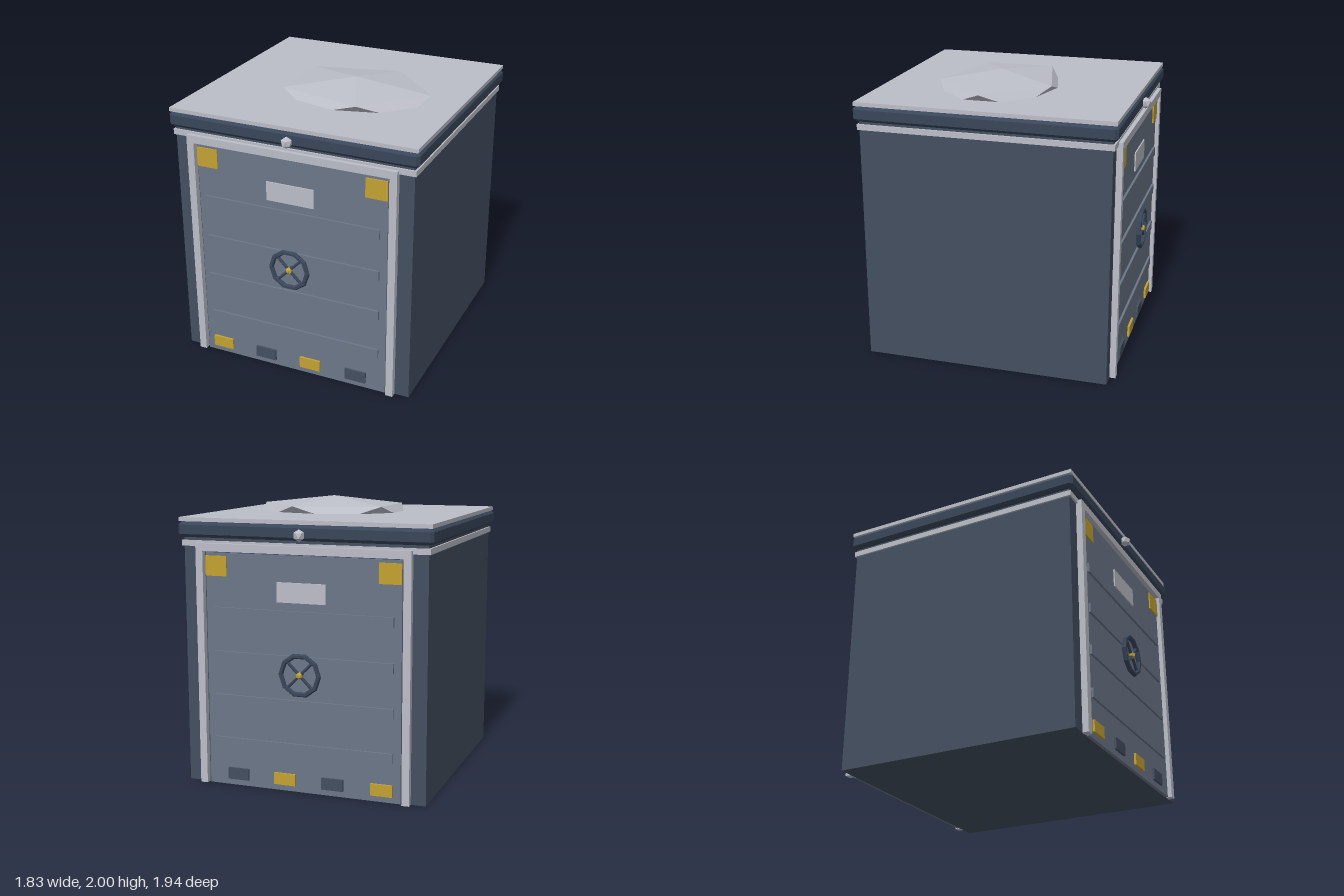
import * as THREE from 'three';

const mat = (name, color) => {
  const m = new THREE.MeshStandardMaterial({ color, flatShading: true });
  m.name = name;
  return m;
};

export function createModel() {
  const wallBlue = mat('wall slate blue', 0x434f60);
  const darkBlue = mat('dark slate blue', 0x39465a);
  const doorGrey = mat('door blue grey', 0x6c7789);
  const paleGrey = mat('pale grey', 0xbcbec8);
  const yellow = mat('warning yellow', 0xc4a232);

  const model = new THREE.Group();
  model.name = 'container';

  const add = (parent, name, geometry, material, x = 0, y = 0, z = 0) => {
    const mesh = new THREE.Mesh(geometry, material);
    mesh.name = name;
    mesh.position.set(x, y, z);
    parent.add(mesh);
    return mesh;
  };
  // Box given by its extents in x and y, and its centre and depth in z
  const panel = (parent, name, material, x0, x1, y0, y1, z, depth) =>
    add(parent, name, new THREE.BoxGeometry(x1 - x0, y1 - y0, depth), material,
      (x0 + x1) / 2, (y0 + y1) / 2, z);
  // Icosahedron standing on a vertex, with a ring vertex towards +x
  const gem = (rx, ry, rz) => new THREE.IcosahedronGeometry(1, 0)
    .rotateZ(-Math.atan(2 / (1 + Math.sqrt(5)))).scale(rx, ry, rz);

  // Body, trim and roof
  panel(model, 'body', wallBlue, -0.88, 0.88, 0, 1.865, 0, 1.76);
  panel(model, 'lowerTrim', paleGrey, -0.893, 0.893, 1.69, 1.73, 0, 1.786);
  panel(model, 'roofSlab', paleGrey, -0.908, 0.908, 1.86, 1.888, 0, 1.816);

  // Bevelled band below the roof
  const h = 0.895, c = 0.01;
  const outline = new THREE.Shape([
    [h, -h + c], [h, h - c], [h - c, h], [-h + c, h],
    [-h, h - c], [-h, -h + c], [-h + c, -h], [h - c, -h],
  ].map(([x, y]) => new THREE.Vector2(x, y)));
  const band = new THREE.ExtrudeGeometry(outline, {
    depth: 0.065, bevelEnabled: true, bevelSize: 0.021, bevelThickness: 0.021, bevelSegments: 1,
  }).rotateX(-Math.PI / 2);
  add(model, 'roofBand', band, darkBlue, 0, 1.772, 0);

  // Faceted mound on the roof
  add(model, 'roofMound', gem(0.626, 0.112, 0.482), paleGrey, 0.13, 1.888, 0.09);

  // Identical doors on the front and the back
  for (const s of [1, -1]) {
    const door = new THREE.Group();
    door.name = s > 0 ? 'frontDoor' : 'backDoor';
    model.add(door);

    panel(door, 'doorPanel', doorGrey, -0.708, 0.708, 0, 1.65, s * 0.885, 0.024);
    panel(door, 'frameTop', paleGrey, -0.775, 0.775, 1.66, 1.715, s * 0.9, 0.046);
    for (const side of [1, -1]) {
      add(door, 'framePost', new THREE.BoxGeometry(0.053, 1.66, 0.046), paleGrey,
        side * 0.7485, 0.83, s * 0.9);
      add(door, 'cornerPlate', new THREE.BoxGeometry(0.158, 0.14, 0.009), yellow,
        side * 0.629, 1.56, s * 0.9015);
    }
    panel(door, 'blankPlate', paleGrey, -0.177, 0.177, 1.33, 1.468, s * 0.9015, 0.009);

    // Horizontal ribs
    for (let i = 0; i < 4; i++) {
      add(door, 'rib', new THREE.BoxGeometry(1.31, 0.068, 0.02), doorGrey,
        0, 0.313 + i * 0.309, s * 0.903);
    }

    // Alternating blocks along the bottom
    for (let i = 0; i < 4; i++) {
      add(door, 'bottomBlock', new THREE.BoxGeometry(0.158, 0.083, 0.02),
        i % 2 ? wallBlue : yellow, -0.575 + i * 0.353, 0.085, s * 0.903);
    }

    // Hand wheel
    const wheel = new THREE.Group();
    wheel.name = 'handWheel';
    wheel.position.set(0, 0.842, s * 0.938);
    door.add(wheel);
    add(wheel, 'wheelRim', new THREE.TorusGeometry(0.138, 0.018, 6, 10), darkBlue);
    for (const a of [1, -1]) {
      const spoke = add(wheel, 'wheelSpoke',
        new THREE.CylinderGeometry(0.011, 0.011, 0.27, 6), darkBlue);
      spoke.rotation.z = a * Math.PI / 4;
    }
    add(wheel, 'wheelShaft', new THREE.CylinderGeometry(0.014, 0.014, 0.045, 6)
      .rotateX(Math.PI / 2), darkBlue, 0, 0, -s * 0.022);
    add(wheel, 'wheelHub', gem(0.026, 0.026, 0.026), yellow, 0, 0, s * 0.004);

    // Knob on the roof band
    add(model, s > 0 ? 'frontKnob' : 'backKnob', gem(0.042, 0.042, 0.042), paleGrey,
      0, 1.79, s * 0.932);
  }
  return model;
}
